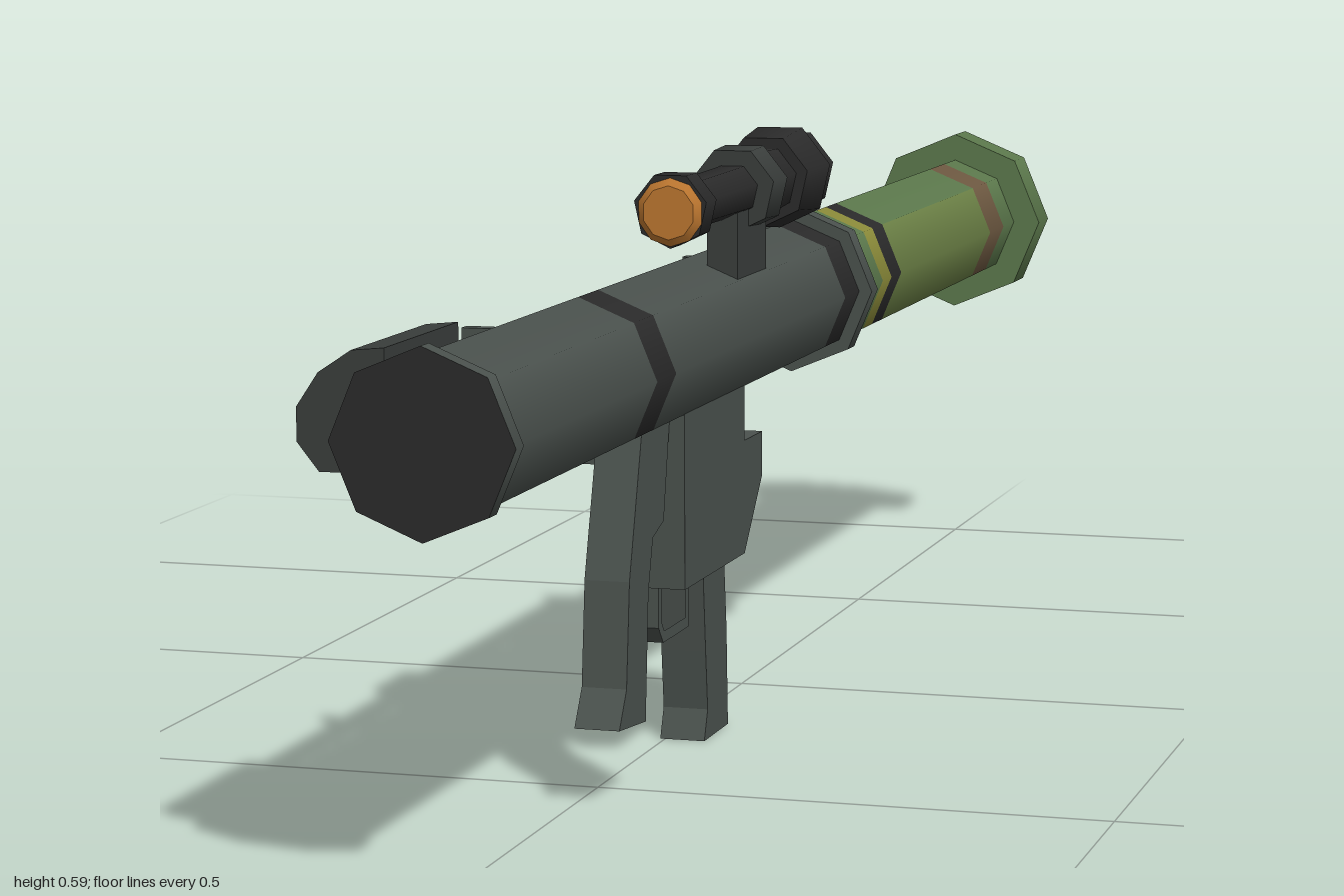
import * as THREE from 'three';

const mat = (name, color) => new THREE.MeshStandardMaterial({ name, color });

export function createModel() {
  const grey = mat('gunGrey', 0x4b524e);
  const darkGrey = mat('darkGrey', 0x3a3e3c);
  const black = mat('black', 0x2b2b2b);
  const green = mat('green', 0x5d7a4d);
  const olive = mat('oliveGreen', 0x6c8146);
  const yellow = mat('yellow', 0x8c8c3a);
  const brown = mat('brown', 0x6f5a42);
  const orange = mat('orange', 0xbd7730);

  const model = new THREE.Group();
  model.name = 'shoulderLauncher';
  const CX = 0.009, CY = 0.404; // main tube axis

  const add = (name, geometry, material, parent = model) => {
    const mesh = new THREE.Mesh(geometry, material);
    mesh.name = name;
    parent.add(mesh);
    return mesh;
  };

  // Cylinder along z from z0 (back) to z1 (front)
  const barrel = (name, material, z0, z1, r0, r1 = r0, { x = CX, y = CY, sides = 8, open = false, start = 0, arc = Math.PI * 2, parent = model } = {}) => {
    const g = new THREE.CylinderGeometry(r1, r0, z1 - z0, sides, 1, open, start, arc);
    g.rotateX(Math.PI / 2).translate(x, y, (z0 + z1) / 2);
    return add(name, g, material, parent);
  };

  // Box given by its limits
  const block = (name, material, x0, x1, y0, y1, z0, z1) => add(name,
    new THREE.BoxGeometry(x1 - x0, y1 - y0, z1 - z0)
      .translate((x0 + x1) / 2, (y0 + y1) / 2, (z0 + z1) / 2), material);

  // Side outline in (z, y), extruded across x
  const outline = (pts) => new THREE.Shape(pts.map(([a, b]) => new THREE.Vector2(a, b)));
  const sidePlate = (name, material, pts, x0, x1, hole) => {
    const shape = outline(pts);
    if (hole) shape.holes.push(outline(hole));
    const g = new THREE.ExtrudeGeometry(shape, { depth: x1 - x0, bevelEnabled: false });
    g.rotateY(-Math.PI / 2).translate(x1, 0, 0);
    return add(name, g, material);
  };

  // Grey launch tube and its dark bands
  const R = 0.076;
  barrel('muzzleRim', [grey, black, grey], 0.98, 1, 0.083);
  [['frontTube', grey, 0.58, 0.98], ['frontBand', black, 0.52, 0.58],
    ['middleTube', grey, -0.105, 0.52], ['rearBand', black, -0.165, -0.105],
    ['tubeJoint', green, -0.27, -0.19], ['yellowBand', yellow, -0.31, -0.27],
    ['darkBand', black, -0.355, -0.31], ['brownBand', brown, -0.885, -0.81],
    ['rearTube', green, -0.945, -0.885],
  ].forEach(([name, m, z0, z1]) => barrel(name, m, z0, z1, R, R, { open: true }));
  barrel('collar', grey, -0.192, -0.165, 0.09);

  // Green rear tube, with an olive strip on its left side
  barrel('rearTubeMain', green, -0.81, -0.355, R, R, { open: true, sides: 6, start: Math.PI * 0.75, arc: Math.PI * 1.5 });
  barrel('oliveStrip', olive, -0.81, -0.355, R, R, { open: true, sides: 2, start: Math.PI * 0.25, arc: Math.PI * 0.5 });
  barrel('endCap', green, -1, -0.945, 0.108);

  // Trigger housing and grips
  sidePlate('triggerHousing', grey, [[0.42, 0.36], [0.42, 0.18], [0.21, 0.18], [0.145, 0.25],
    [0.145, 0.295], [0.21, 0.295], [0.21, 0.36]], -0.012, 0.063);
  sidePlate('frontGrip', grey, [[0.51, 0.345], [0.55, 0.21], [0.56, 0.11], [0.583, 0.075], [0.5, 0.067],
    [0.49, 0.19], [0.475, 0.24], [0.44, 0.25], [0.42, 0.345]], 0.004, 0.048);
  sidePlate('rearGrip', grey, [[0.285, 0.185], [0.275, 0.09], [0.268, 0.03], [0.28, 0],
    [0.195, 0], [0.2, 0.1], [0.21, 0.185]], -0.005, 0.041);
  sidePlate('triggerGuard', grey, [[0.415, 0.185], [0.415, 0.14], [0.4, 0.123], [0.315, 0.123], [0.315, 0.185]],
    0.005, 0.035, [[0.405, 0.182], [0.405, 0.144], [0.396, 0.134], [0.325, 0.134], [0.325, 0.182]]);

  // Boxes on the right side of the housing
  block('sideBox', grey, -0.088, 0, 0.295, 0.4, 0.13, 0.4);
  block('outerBox', grey, -0.118, -0.085, 0.305, 0.43, 0.3, 0.4);

  // Side rod with its mounts and front shoe
  barrel('sideRod', grey, -0.15, 0.8, 0.016, 0.016, { x: -0.086, y: 0.42, sides: 6 });
  block('rodRearMount', grey, -0.108, -0.04, 0.402, 0.438, -0.158, -0.143);
  block('rodBracket', grey, -0.112, -0.05, 0.395, 0.445, 0.545, 0.56);
  const shoeShape = outline([[-0.12, 0.395], [-0.1, 0.37], [-0.04, 0.37], [-0.04, 0.478],
    [-0.07, 0.475], [-0.1, 0.455], [-0.12, 0.425]]);
  add('frontShoe', new THREE.ExtrudeGeometry(shoeShape, { depth: 0.185, bevelEnabled: false })
    .translate(0, 0, 0.77), darkGrey);

  // Seven-sided sight along the top
  const sight = new THREE.Group();
  sight.name = 'sight';
  model.add(sight);
  [['sightObjective', black, 0.365, 0.4, 0.037, 0.037],
    ['sightBody', black, 0.18, 0.365, 0.027, 0.025],
    ['sightRing', darkGrey, 0.14, 0.185, 0.046, 0.044],
    ['sightNeck', black, 0.07, 0.14, 0.036, 0.04],
    ['sightEyepiece', black, 0.005, 0.07, 0.055, 0.048],
    ['sightEyecupNeck', black, -0.02, 0.005, 0.036, 0.045],
    ['sightEyecup', black, -0.045, -0.02, 0.045, 0.036],
  ].forEach(([name, m, z0, z1, r0, r1]) =>
    barrel(name, m, z0, z1, r0, r1, { x: 0.043, y: 0.544, sides: 7, parent: sight }));
  barrel('sightLens', orange, 0.4, 0.406, 0.033, 0.026, { x: 0.043, y: 0.542, sides: 10, parent: sight });
  block('sightMount', darkGrey, 0.028, 0.06, 0.455, 0.53, 0.12, 0.225);

  return model;
}
